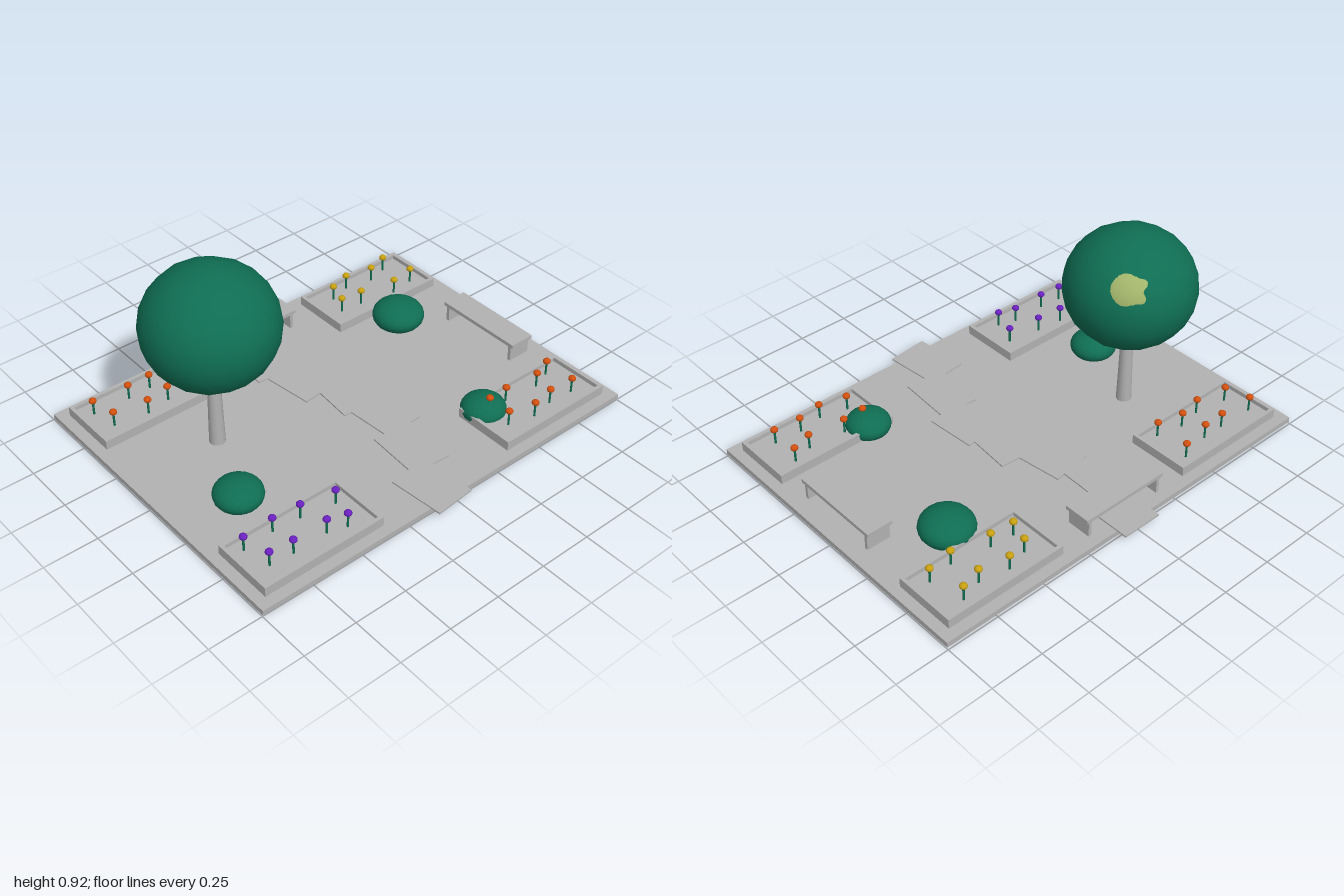
import * as THREE from 'three';

const mat = (name, color) => Object.assign(new THREE.MeshStandardMaterial({ color }), { name });

export function createModel() {
  const stone = mat('stone', 0xb2b2b2);
  const leaf = mat('leaf', 0x0f6e53);
  const paleLeaf = mat('paleLeaf', 0xa3b56b);
  const orange = mat('orangePetal', 0xd2500f);
  const yellow = mat('yellowPetal', 0xc8a010);
  const purple = mat('purplePetal', 0x6a20bf);

  const root = new THREE.Group();
  root.name = 'garden';
  const garden = new THREE.Group();
  garden.name = 'gardenParts';
  garden.position.z = 0.005;
  root.add(garden);

  const add = (parent, name, geo, material, x, y, z) => {
    const m = new THREE.Mesh(geo, material);
    m.name = name;
    m.position.set(x, y, z);
    parent.add(m);
    return m;
  };
  const group = (name) => {
    const g = new THREE.Group();
    g.name = name;
    garden.add(g);
    return g;
  };
  // box given by its centre in plan and its bottom and top heights
  const box = (parent, name, w, d, y0, y1, x, z) =>
    add(parent, name, new THREE.BoxGeometry(w, y1 - y0, d), stone, x, (y0 + y1) / 2, z);

  // rounded foliage with a vertex at the top and bottom
  const ball = new THREE.IcosahedronGeometry(1, 3).rotateZ(-0.5536);

  const GROUND = 0.033;
  box(garden, 'groundSlab', 2, 1.5, 0.008, GROUND, 0, 0);

  // winding path of slightly turned slabs: x, z, length, turn
  const path = group('path');
  [
    [0, -0.67, 0.26, 0],
    [-0.077, -0.45, 0.22, -0.03],
    [-0.019, -0.23, 0.24, 0.13],
    [0.075, -0.03, 0.24, -0.09],
    [0.109, 0.185, 0.24, 0.07],
    [0.049, 0.425, 0.27, -0.07],
    [-0.05, 0.656, 0.265, 0.09],
  ].forEach(([x, z, len, turn], i) => {
    box(path, 'pathSlab' + (i + 1), 0.195, len, GROUND - 0.001, 0.04, x, z).rotation.y = turn;
  });

  // benches: seat on two full-depth end supports
  const bench = (name, x, z, length, turn) => {
    const g = group(name);
    box(g, 'seat', length, 0.125, 0.111, 0.129, 0, 0);
    for (const s of [-1, 1]) {
      box(g, 'benchLeg', 0.016, 0.115, GROUND, 0.112, s * (length / 2 - 0.022), 0);
    }
    g.position.set(x, 0, z);
    g.rotation.y = turn;
  };
  bench('backBench', 0, -0.637, 0.44, 0);
  bench('sideBench', 0.863, 0.054, 0.45, Math.PI / 2);

  // flower beds: open rim, sunken fill and eight flowers each
  const rect = (Type, w, h) => new Type([
    new THREE.Vector2(-w, -h), new THREE.Vector2(w, -h),
    new THREE.Vector2(w, h), new THREE.Vector2(-w, h),
  ]);
  const rim = rect(THREE.Shape, 0.299, 0.149);
  rim.holes.push(rect(THREE.Path, 0.282, 0.132));
  const rimGeo = new THREE.ExtrudeGeometry(rim, { depth: 0.045, bevelEnabled: false }).rotateX(-Math.PI / 2);
  const stemGeo = new THREE.CylinderGeometry(0.005, 0.005, 0.08, 6);
  const headGeo = new THREE.SphereGeometry(0.0175, 12, 8).scale(1, 0.8, 1);

  const bed = (name, sx, sz, petal, flowers) => {
    const g = group(name);
    const x = sx * 0.65, z = sz * 0.55;
    add(g, 'bedRim', rimGeo, stone, x, GROUND, z);
    box(g, 'bedFill', 0.564, 0.264, GROUND, 0.058, x, z);
    for (const [fx, fz] of flowers) {
      add(g, 'flowerStem', stemGeo, leaf, fx, 0.09, fz);
      add(g, 'flowerHead', headGeo, petal, fx, 0.132, fz);
    }
  };
  bed('backRightBed', -1, -1, orange, [
    [-0.877, -0.61], [-0.7, -0.604], [-0.588, -0.607], [-0.433, -0.64],
    [-0.85, -0.49], [-0.69, -0.465], [-0.572, -0.487], [-0.444, -0.46],
  ]);
  bed('backLeftBed', 1, -1, yellow, [
    [0.476, -0.604], [0.583, -0.636], [0.722, -0.61], [0.824, -0.64],
    [0.444, -0.503], [0.556, -0.492], [0.738, -0.46], [0.861, -0.48],
  ]);
  bed('frontRightBed', -1, 1, purple, [
    [-0.877, 0.47], [-0.727, 0.46], [-0.594, 0.47], [-0.433, 0.497],
    [-0.85, 0.599], [-0.738, 0.607], [-0.567, 0.604], [-0.481, 0.631],
  ]);
  bed('frontLeftBed', 1, 1, orange, [
    [0.455, 0.481], [0.561, 0.476], [0.738, 0.492], [0.834, 0.46],
    [0.455, 0.599], [0.583, 0.631], [0.7, 0.61], [0.829, 0.618],
  ]);

  // squashed bushes that dip just through the slab
  [
    [0.62, -0.296, 0.124, 0.075],
    [-0.703, 0.203, 0.11, 0.067],
    [0.449, 0.452, 0.103, 0.063],
  ].forEach(([x, z, r, h], i) => {
    add(garden, 'bush' + (i + 1), ball, leaf, x, h, z).scale.set(r, h, r);
  });

  // tree: tapered trunk, round crown and a pale clump breaking its surface
  const tree = group('tree');
  tree.position.set(-0.553, 0, -0.148);
  add(tree, 'trunk', new THREE.CylinderGeometry(0.025, 0.036, 0.5, 12), stone, 0, GROUND + 0.25, 0);
  const crown = new THREE.Group();
  crown.name = 'crown';
  crown.position.y = 0.647;
  crown.scale.y = 0.92;
  tree.add(crown);
  add(crown, 'foliage', ball, leaf, 0, 0, 0).scale.setScalar(0.298);
  const d = 0.1235;
  add(crown, 'paleClump', ball, paleLeaf, 0.633 * d, 0.522 * d, -0.569 * d).scale.setScalar(0.18);

  return root;
}
